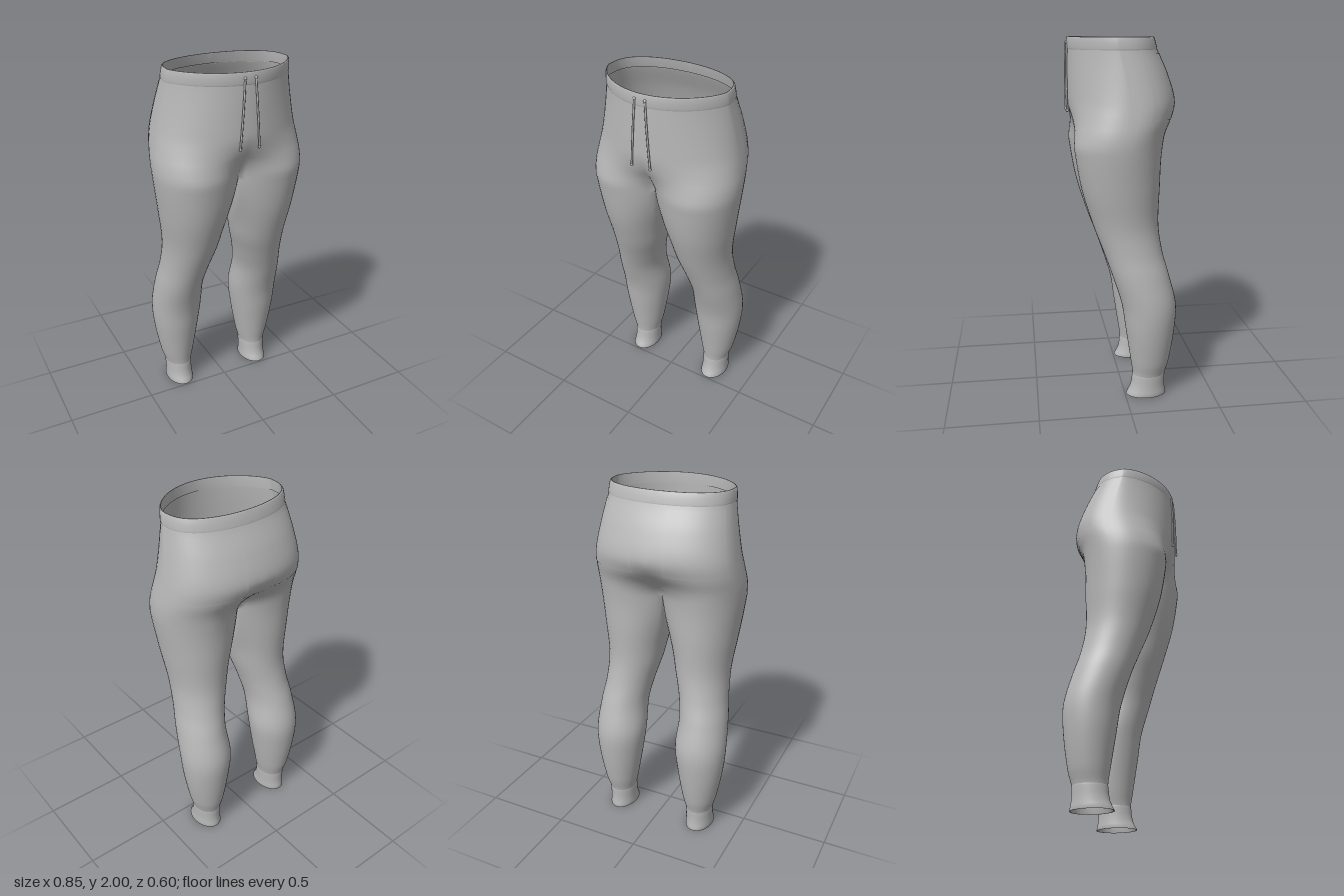
import * as THREE from 'three';
import { mergeVertices } from 'three/addons/utils/BufferGeometryUtils.js';

// Sections from waist to hem:
// height, outer x, inner x, front z, back z, hip blend (1 = hips, 0 = leg), front roundness
const SECTIONS = [
  [2.00, 0.345, 0, 0.282, -0.182, 1, 1.4],
  [1.94, 0.352, 0, 0.283, -0.200, 1, 1.4],
  [1.80, 0.376, 0, 0.285, -0.262, 1, 1.2],
  [1.66, 0.400, 0, 0.285, -0.300, 1, 1],
  [1.57, 0.415, 0, 0.280, -0.275, 0.8, 0.9],
  [1.50, 0.424, 0, 0.274, -0.232, 0.4, 0.9],
  [1.42, 0.423, 0, 0.267, -0.205, 0, 0.9],
  [1.20, 0.395, 0.02, 0.230, -0.195, 0, 1],
  [1.00, 0.370, 0.055, 0.170, -0.190, 0, 1],
  [0.85, 0.375, 0.095, 0.115, -0.210, 0, 1],
  [0.72, 0.393, 0.118, 0.070, -0.245, 0, 1],
  [0.55, 0.406, 0.112, 0.018, -0.286, 0, 1],
  [0.40, 0.396, 0.130, -0.005, -0.280, 0, 1],
  [0.20, 0.360, 0.165, -0.035, -0.250, 0, 1],
  [0.12, 0.337, 0.183, -0.045, -0.228, 0, 1],
  [0.05, 0.334, 0.186, -0.036, -0.226, 0, 1],
  [0.00, 0.337, 0.183, -0.011, -0.235, 0, 1],
];
const CROTCH = 1.42;
const ALPHA = 0.96; // angle where the leg section meets the centre seam

// Smooth interpolation of the section table at height y
function section(y) {
  const S = SECTIONS, n = S.length;
  let i = 0;
  while (i < n - 2 && y < S[i + 1][0]) i++;
  const h = S[i + 1][0] - S[i][0], t = (y - S[i][0]) / h;
  const slope = (k, c) => {
    const a = S[Math.max(k - 1, 0)], b = S[Math.min(k + 1, n - 1)];
    return (b[c] - a[c]) / (b[0] - a[0]);
  };
  return S[i].map((v, c) => c === 0 ? y :
    v * (2 * t ** 3 - 3 * t * t + 1) + S[i + 1][c] * (3 * t * t - 2 * t ** 3) +
    h * (slope(i, c) * (t ** 3 - 2 * t * t + t) + slope(i + 1, c) * (t ** 3 - t * t)));
}

// Point on the left half: t 0..1 runs front, side, back; t 1..2 returns along the inner leg
function surface(y, t, off = 0) {
  let [, xo, xi, zf, zb, w, pf] = section(y);
  xo += off; zf += off; zb -= off;
  xi = y < CROTCH ? Math.max(xi, 0) - (y < 1.3 ? off : 0) : 0;
  w = y <= CROTCH ? 0 : THREE.MathUtils.clamp(w, 0, 1);
  const th = t <= 1 ? -ALPHA + t * (Math.PI + 2 * ALPHA)
    : Math.PI + ALPHA + (t - 1) * (Math.PI - 2 * ALPHA);
  const cx = (xo + xi) / 2, a = (xo - xi) / 2, cz = (zf + zb) / 2, b = (zf - zb) / 2;
  // Leg: ellipse whose inner side flattens against the centre near the crotch
  const flat = THREE.MathUtils.smoothstep(y, 1.05, CROTCH);
  const k = 1 + flat * (1 / Math.sin(ALPHA) - 1);
  const s = Math.sin(th);
  const legX = s >= 0 ? cx + a * s : cx - a * Math.min(1, -s * k);
  const legZ = cz + b * Math.cos(th);
  if (w === 0) return [legX, y, legZ];
  // Hips: half of one wide rounded section
  const phi = Math.min(t, 1) * Math.PI, c = Math.cos(phi);
  const hipZ = cz + b * Math.sign(c) * Math.abs(c) ** (c > 0 ? pf : 0.72);
  return [legX + (xo * Math.sin(phi) - legX) * w, y, legZ + (hipZ - legZ) * w];
}

// Skin a list of [height, offset] rows between t0 and t1 on the given sides
function addSkin(pos, rows, t0, t1, cols, sides = [1, -1]) {
  for (const side of sides) {
    const p = (r, j) => {
      const [x, y, z] = surface(r[0], t0 + (t1 - t0) * j / cols, r[1]);
      return [x * side, y, z];
    };
    for (let i = 0; i < rows.length - 1; i++) {
      for (let j = 0; j < cols; j++) {
        const a = p(rows[i], j), b = p(rows[i], j + 1);
        const c = p(rows[i + 1], j + 1), d = p(rows[i + 1], j);
        pos.push(...(side > 0 ? [a, d, c, a, c, b] : [a, c, d, a, b, c]).flat());
      }
    }
  }
}

function skinMesh(name, pos, material) {
  let g = new THREE.BufferGeometry();
  g.setAttribute('position', new THREE.Float32BufferAttribute(pos, 3));
  g = mergeVertices(g, 1e-5);
  g.computeVertexNormals();
  const mesh = new THREE.Mesh(g, material);
  mesh.name = name;
  return mesh;
}

const rowsBetween = (top, bottom, n, off = 0) =>
  Array.from({ length: n + 1 }, (_, i) => [top + (bottom - top) * i / n, off]);

export function createModel() {
  const group = new THREE.Group();
  group.name = 'joggers';
  const cloth = new THREE.MeshStandardMaterial({ color: 0xb8b8b8, side: THREE.DoubleSide });
  cloth.name = 'grey cloth';

  // Hips and both legs in one continuous skin
  const body = [];
  const legRows = rowsBetween(CROTCH, 0, 56);
  addSkin(body, rowsBetween(2, CROTCH, 24), 0, 1, 36);
  addSkin(body, legRows, 0, 1, 36);
  addSkin(body, legRows, 1, 2, 14);
  group.add(skinMesh('trousers', body, cloth));

  // Waistband with a turned inner edge
  const band = [];
  addSkin(band, [[1.935, 0], [1.943, 0.003], [1.97, 0.004], [1.995, 0.003], [2, 0],
    [2, -0.005], [1.94, -0.006]], 0, 1, 36);
  group.add(skinMesh('waistband', band, cloth));

  // Ankle cuffs
  for (const side of [1, -1]) {
    const cuff = [];
    const rows = [[0.125, 0], [0.115, 0.003], [0.085, 0.003], [0.05, 0.003], [0.025, 0.003],
      [0, 0.003], [0, -0.003], [0.05, -0.004]];
    addSkin(cuff, rows, 0, 1, 36, [side]);
    addSkin(cuff, rows, 1, 2, 14, [side]);
    group.add(skinMesh(side > 0 ? 'leftCuff' : 'rightCuff', cuff, cloth));
  }

  // Back pockets as thin patches that follow the seat
  for (const side of [1, -1]) {
    const pocket = [];
    addSkin(pocket, rowsBetween(1.915, 1.58, 14, 0.002), 0.6, 0.93, 14, [side]);
    group.add(skinMesh(side > 0 ? 'leftBackPocket' : 'rightBackPocket', pocket, cloth));
  }

  // Drawstrings with knotted ends
  for (const side of [1, -1]) {
    const string = new THREE.Group();
    string.name = side > 0 ? 'leftDrawstring' : 'rightDrawstring';
    const path = [[0.03, 1.97, 0.285], [0.036, 1.88, 0.289], [0.045, 1.75, 0.291], [0.055, 1.61, 0.29]]
      .map(([x, y, z]) => new THREE.Vector3(x * side, y, z));
    const cord = new THREE.Mesh(
      new THREE.TubeGeometry(new THREE.CatmullRomCurve3(path), 20, 0.0055, 8), cloth);
    cord.name = 'cord';
    string.add(cord);
    for (const end of [path[0], path[3]]) {
      const knot = new THREE.Mesh(new THREE.SphereGeometry(0.008, 12, 8), cloth);
      knot.name = 'knot';
      knot.position.copy(end);
      string.add(knot);
    }
    group.add(string);
  }
  return group;
}
